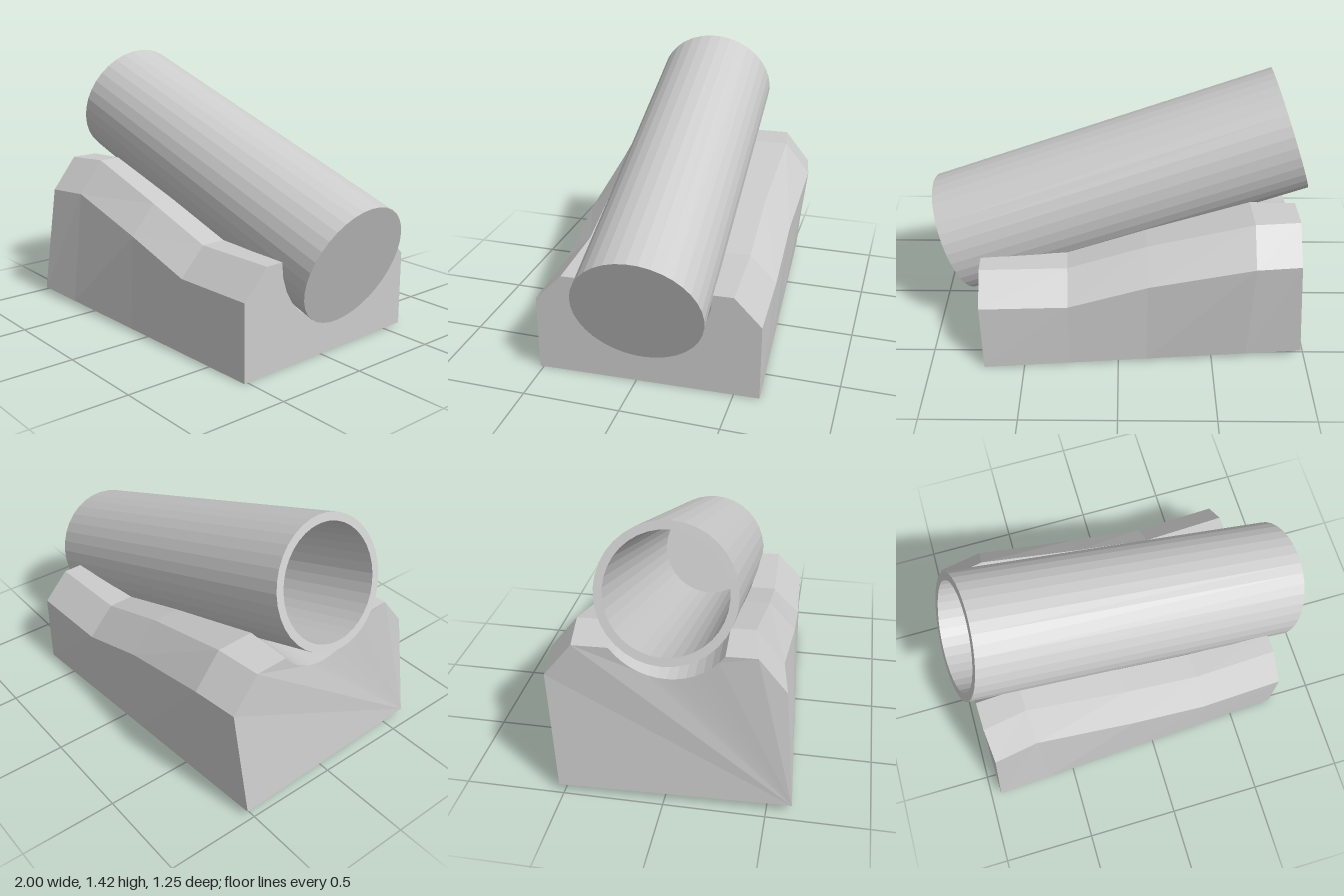
import * as THREE from 'three';

const R = 0.329;
const upper = new THREE.Vector3(-0.89, 1.11, 0.01);   // open end of the tube
const lower = new THREE.Vector3(0.89, 0.49, -0.06);   // closed end of the tube

const lerp = THREE.MathUtils.lerp;
const axisAt = (x) => upper.clone().lerp(lower, (x - upper.x) / (lower.x - upper.x));

// Hollow tube with a closed lower end
function makeTube(material) {
  const length = upper.distanceTo(lower);
  const inner = 0.288;
  const floor = 0.05;
  const profile = [[0, 0], [R, 0], [R, length], [inner, length], [inner, floor], [0, floor]]
    .map(([r, y]) => new THREE.Vector2(r, y));
  const tube = new THREE.Mesh(new THREE.LatheGeometry(profile, 36), material);
  tube.name = 'tube';
  tube.position.copy(lower);
  const dir = upper.clone().sub(lower).normalize();
  tube.quaternion.setFromUnitVectors(new THREE.Vector3(0, 1, 0), dir);
  return tube;
}

// One cross-section of the cradle, from front bottom over the groove to back bottom
function section({ x, bx = x, top, side, z, grooveX = x, grooveLift = 0 }) {
  const half = 0.575, ledge = 0.435, steps = 14;
  const t = (bx + 0.9625) / 1.6975;
  const bottomZ = lerp(0.048, -0.055, t);
  const bottomY = lerp(0.035, 0, t);
  const point = (px, y, pz) => new THREE.Vector3(px + 0.035 * pz, y, pz);

  const axis = axisAt(grooveX);
  const yc = axis.y + grooveLift;
  const zc = axisAt(x).z;
  const r = R + 0.005;
  const b = r * 1.059;
  const open = Math.acos(THREE.MathUtils.clamp((yc - top) / b, 0, 1));

  const ring = [
    point(bx, bottomY, bottomZ + half),
    point(x, side, z + half),
    point(x, top, z + ledge),
  ];
  for (let i = 0; i <= steps; i++) {
    const a = lerp(open, -open, i / steps);
    const y = i === 0 || i === steps ? top : yc - b * Math.cos(a);
    ring.push(point(x, y, zc + r * Math.sin(a)));
  }
  ring.push(
    point(x, top, z - ledge),
    point(x, side, z - half),
    point(bx, bottomY, bottomZ - half),
  );
  return ring;
}

// Sloping block with chamfered shoulders and a groove for the tube
function makeCradle(material) {
  const rings = [
    { x: -0.9, bx: -0.9625, top: 0.815, side: 0.64, z: -0.003, grooveX: -0.665, grooveLift: -0.01 },
    { x: -0.665, top: 0.826, side: 0.65, z: -0.04 },
    { x: -0.13, top: 0.68, side: 0.525, z: -0.027 },
    { x: 0.28, top: 0.545, side: 0.4, z: -0.036 },
    { x: 0.735, top: 0.545, side: 0.4, z: -0.055 },
  ].map(section);
  const n = rings[0].length;
  const index = [];
  for (let i = 0; i < rings.length - 1; i++) {
    for (let k = 0; k < n; k++) {
      const a = i * n + k, b = i * n + (k + 1) % n;
      index.push(a, a + n, b + n, a, b + n, b);
    }
  }
  // End faces
  const cap = (ring, offset, sign) => {
    const outline = ring.map((p) => new THREE.Vector2(sign * p.z, p.y));
    for (const f of THREE.ShapeUtils.triangulateShape(outline, [])) {
      index.push(...f.map((v) => v + offset));
    }
  };
  cap(rings[0], 0, 1);
  cap(rings[rings.length - 1], (rings.length - 1) * n, -1);

  const indexed = new THREE.BufferGeometry().setFromPoints(rings.flat());
  indexed.setIndex(index);
  const geometry = indexed.toNonIndexed();
  geometry.computeVertexNormals();
  const cradle = new THREE.Mesh(geometry, material);
  cradle.name = 'cradle';
  return cradle;
}

export function createModel() {
  const material = new THREE.MeshStandardMaterial({ color: 0xcccccc, flatShading: true });
  const group = new THREE.Group();
  group.name = 'tubeOnCradle';
  group.add(makeTube(material), makeCradle(material));
  return group;
}
